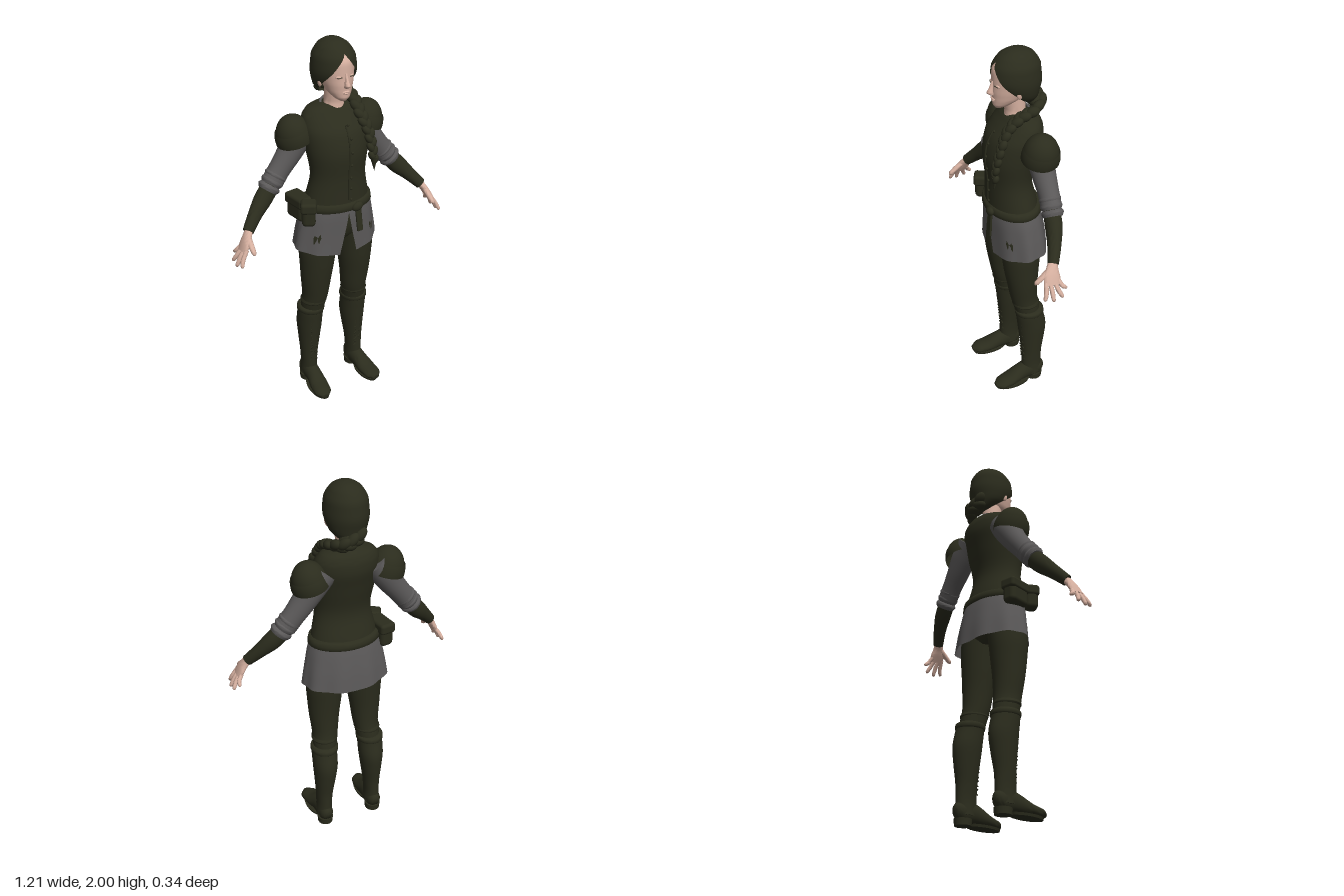
import * as THREE from 'three';
import { toCreasedNormals } from 'three/addons/utils/BufferGeometryUtils.js';
import { RoundedBoxGeometry } from 'three/addons/geometries/RoundedBoxGeometry.js';

const mat = (name, color) => new THREE.MeshStandardMaterial({ name, color, side: THREE.DoubleSide });
const V = (...p) => new THREE.Vector3(...p);

// Smooth skin through elliptical sections [x, y, z, radiusU, radiusV].
// tilt: direction of radiusU for rings square to the path; without it rings stay level.
// gap(y): half angle left open at the front; warp(point, angle, t): extra shaping.
function loft(sections, { n = 24, sub = 4, tilt, gap, warp, open = false } = {}) {
  const path = new THREE.CatmullRomCurve3(sections.map(s => V(s[0], s[1], s[2])));
  const size = new THREE.CatmullRomCurve3(sections.map(s => V(s[3], s[4], 0)));
  const rows = (sections.length - 1) * sub, pos = [], idx = [];
  for (let i = 0; i <= rows; i++) {
    const t = i / rows, c = path.getPoint(t), r = size.getPoint(t);
    const w = tilt ? path.getTangent(t) : V(0, 1, 0);
    const u = tilt ? V(...tilt) : V(1, 0, 0);
    u.addScaledVector(w, -u.dot(w)).normalize();
    const v = u.clone().cross(w), g = gap ? gap(c.y) : 0;
    for (let j = 0; j <= n; j++) {
      const a = Math.PI / 2 + g + (j / n) * 2 * (Math.PI - g);
      const p = c.clone().addScaledVector(u, Math.cos(a) * r.x).addScaledVector(v, Math.sin(a) * r.y);
      if (warp) warp(p, a, t);
      pos.push(p.x, p.y, p.z);
    }
  }
  const m = n + 1;
  for (let i = 0; i < rows; i++) for (let j = 0; j < n; j++) {
    const a = i * m + j;
    idx.push(a, a + m, a + 1, a + 1, a + m, a + m + 1);
  }
  if (!open) [0, rows].forEach(row => {
    const c = path.getPoint(row / rows), k = pos.length / 3;
    pos.push(c.x, c.y, c.z);
    for (let j = 0; j < n; j++) {
      const a = row * m + j;
      row ? idx.push(k, a + 1, a) : idx.push(k, a, a + 1);
    }
  });
  const geo = new THREE.BufferGeometry();
  geo.setAttribute('position', new THREE.Float32BufferAttribute(pos, 3));
  geo.setIndex(idx);
  return toCreasedNormals(geo, 1);
}

export function createModel() {
  const model = new THREE.Group();
  const dark = mat('darkOlive', 0x2b2c1d), grey = mat('greyCloth', 0x5b5959), skin = mat('skin', 0xd6b0a0);
  const add = (name, geo, material, p = [0, 0, 0], r = [0, 0, 0], s = [1, 1, 1]) => {
    const mesh = new THREE.Mesh(geo, material);
    mesh.name = name;
    mesh.position.set(...p); mesh.rotation.set(...r); mesh.scale.set(...s);
    model.add(mesh);
    return mesh;
  };
  const ball = new THREE.SphereGeometry(1, 20, 14);
  const rod = (name, p, q, r) => add(name, new THREE.TubeGeometry(new THREE.LineCurve3(V(...p), V(...q)), 1, r, 6), dark);

  // Head
  add('face', loft([[0, 1.712, .062, .015, .02], [0, 1.728, .05, .038, .045], [0, 1.76, .022, .062, .076],
    [0, 1.8, .01, .075, .09], [0, 1.85, .005, .083, .093], [0, 1.9, 0, .084, .095], [0, 1.95, -.01, .06, .07]]), skin);
  add('neck', loft([[0, 1.6, -.015, .08, .075], [0, 1.645, -.018, .066, .06], [0, 1.68, -.02, .05, .052],
    [0, 1.76, -.01, .05, .055]]), skin);
  add('nose', loft([[0, 1.785, .1, .012, .012], [0, 1.796, .109, .014, .018], [0, 1.82, .103, .009, .013],
    [0, 1.855, .093, .007, .008]], { n: 12 }), skin);
  add('upperLip', ball, skin, [0, 1.764, .097], [0, 0, 0], [.021, .005, .007]);
  add('lowerLip', ball, skin, [0, 1.755, .095], [0, 0, 0], [.017, .006, .008]);
  for (const s of [-1, 1]) {
    add('eyelid', ball, skin, [s * .033, 1.838, .085], [0, s * .3, 0], [.016, .008, .009]);
    add('lashLine', new THREE.BoxGeometry(.026, .0025, .004), dark, [s * .033, 1.838, .094], [0, s * .35, 0]);
    add('ear', ball, skin, [s * .086, 1.805, -.005], [0, s * .3, 0], [.012, .03, .02]);
  }

  // Hair swept back into a low knot
  add('hair', loft([[0, 1.725, -.07, .05, .06], [0, 1.77, -.045, .092, .092], [0, 1.85, -.025, .11, .126],
    [0, 1.92, -.024, .103, .119], [0, 1.97, -.026, .073, .086], [0, 1.993, -.028, .038, .045],
    [0, 2, -.028, .004, .004]], { n: 36, gap: y => Math.max(0, 7 * (1.945 - y)) }), dark);
  add('hairKnot', ball, dark, [.02, 1.735, -.11], [0, 0, -.4], [.06, .038, .042]);

  // Braid over the left shoulder
  const braid = new THREE.CatmullRomCurve3([V(-.03, 1.75, -.125), V(.05, 1.72, -.13), V(.095, 1.705, -.07),
    V(.1, 1.685, 0), V(.1, 1.63, .065), V(.12, 1.54, .115), V(.127, 1.45, .143), V(.13, 1.4, .148)]);
  for (let i = 0; i <= 26; i++) {
    const t = i / 26, r = .034 - .013 * t, tan = braid.getTangentAt(t), side = i % 2 ? 1 : -1;
    const across = tan.clone().cross(V(0, .3, 1)).normalize();
    const strand = add('braidStrand', ball, dark, braid.getPointAt(t).addScaledVector(across, side * r * .35).toArray(),
      [0, 0, 0], [r * .8, r * 1.25, r * .85]);
    strand.quaternion.setFromUnitVectors(V(0, 1, 0), tan.addScaledVector(across, -side * .5).normalize());
  }
  add('braidTip', new THREE.ConeGeometry(.018, .07, 12), dark, [.131, 1.375, .152], [Math.PI - .1, 0, 0]);

  // Jerkin with seam and buttons
  add('jerkin', loft([[0, 1.135, 0, .183, .13], [0, 1.2, .006, .17, .123], [0, 1.32, .018, .148, .111],
    [0, 1.45, .01, .165, .13], [0, 1.55, -.013, .175, .132], [0, 1.62, -.037, .163, .107],
    [0, 1.655, -.043, .135, .085], [0, 1.678, -.04, .07, .06]], { n: 40 }), dark);
  const seam = [[1.2, .13], [1.26, .129], [1.32, .13], [1.39, .135], [1.46, .14], [1.53, .127], [1.59, .095]];
  add('frontSeam', new THREE.TubeGeometry(new THREE.CatmullRomCurve3(seam.map(([y, z]) => V(0, y, z))), 24, .005, 6), dark);
  seam.forEach(([y, z]) => add('button', ball, dark, [.012, y, z + .002], [0, 0, 0], [.007, .007, .006]));
  add('shirtCollar', new THREE.TorusGeometry(.064, .007, 8, 32), grey, [0, 1.668, -.028], [Math.PI / 2 + .3, 0, 0], [1, .95, 1]);

  // Tunic skirt, split at the front
  add('tunicSkirt', loft([[0, .905, -.018, .235, .15], [0, 1, -.014, .22, .145], [0, 1.1, -.006, .2, .138],
    [0, 1.18, 0, .176, .127]], {
    n: 72, open: true, gap: y => Math.max(0, .95 * (1.13 - y)),
    warp: (p, a, t) => {
      const k = 1 + .022 * Math.sin(9 * a) * (1 - t);
      p.x *= k; p.z *= k;
      p.y += (1 - t) * (.012 * Math.abs(Math.cos(a)) - .018 * Math.max(0, Math.sin(a)));
    }
  }), grey);

  // Belt, hanging end and pouches
  add('belt', loft([[0, 1.135, 0, .184, .132], [0, 1.142, 0, .194, .142], [0, 1.175, 0, .188, .138],
    [0, 1.182, 0, .176, .128]], { n: 40, sub: 2 }), dark);
  add('beltKnot', ball, dark, [.045, 1.155, .14], [0, 0, .4], [.032, .024, .018]);
  add('beltTail', new RoundedBoxGeometry(.034, .14, .012, 2, .005), dark, [.052, 1.085, .145], [-.08, 0, .06]);
  const pouch = (name, p, w, h, d, turn) => {
    add(name, new RoundedBoxGeometry(w, h, d, 4, .024), dark, p, [0, turn, 0]);
    add(name + 'Flap', new RoundedBoxGeometry(w + .012, h * .45, d + .012, 4, .016), dark,
      [p[0], p[1] + h * .3, p[2]], [0, turn, 0]);
  };
  pouch('largePouch', [-.2, 1.145, -.03], .075, .13, .13, .15);
  pouch('smallPouch', [-.202, 1.15, .075], .07, .13, .07, -.5);

  // Hips
  add('hips', loft([[0, .93, -.01, .04, .06], [0, .97, -.008, .12, .1], [0, 1.05, -.005, .17, .12],
    [0, 1.17, 0, .165, .118]]), dark);

  for (const s of [-1, 1]) {
    const mirror = rows => rows.map(([x, ...rest]) => [s * x, ...rest]);
    const limb = (name, rows, material, opts) => add(name, loft(mirror(rows), opts), material);
    const along = { tilt: [0, 0, 1], n: 24 };

    // Arms
    limb('sleeve', [[.13, 1.57, -.06, .07, .07], [.19, 1.5, -.061, .066, .072], [.235, 1.435, -.06, .059, .064],
      [.3, 1.352, -.057, .051, .057], [.335, 1.308, -.052, .051, .058]], grey, along);
    for (let i = 0; i < 3; i++) {
      const k = i * .021;
      limb('sleeveRoll', [[.305 + k, 1.35 - k * 1.25, -.056 + k * .15, .046, .05], [.314 + k, 1.338 - k * 1.25, -.055 + k * .15, .054, .06],
        [.326 + k, 1.323 - k * 1.25, -.053 + k * .15, .046, .05]], grey, along);
    }
    limb('bracer', [[.33, 1.31, -.051, .042, .046], [.39, 1.243, -.038, .042, .048], [.455, 1.178, -.01, .034, .037],
      [.515, 1.114, .026, .027, .029]], dark, along);

    // Hands
    limb('palm', [[.505, 1.125, .022, .021, .02], [.528, 1.092, .037, .032, .018], [.545, 1.062, .046, .043, .016],
      [.562, 1.03, .05, .041, .012]], skin, along);
    [[.592, .967, .102], [.601, .957, .061], [.599, .965, .015], [.578, .995, -.013]].forEach(([x, y, z], i) => {
      const kz = .081 - i * .021;
      limb('finger', [[.552, 1.045, kz, .011, .011], [(.566 + x) / 2, (1.035 + y) / 2, (kz + z) / 2, .0115, .011],
        [x - .002, y + .006, z, .009, .009], [x, y, z, .003, .003]], skin, { tilt: [0, 0, 1], n: 10 });
    });
    limb('thumb', [[.525, 1.095, .05, .014, .014], [.53, 1.065, .09, .015, .013], [.531, 1.04, .122, .011, .011],
      [.532, 1.034, .13, .003, .003]], skin, { tilt: [1, 0, 0], n: 10 });

    // Layered shoulder guards
    [[0, 1.5, 1], [1.15, .55, 1.06]].forEach(([start, span, k], i) =>
      add(i ? 'shoulderGuardLame' : 'shoulderGuard', new THREE.SphereGeometry(1, 32, 14, 0, Math.PI * 2, start, span), dark,
        [s * .203, 1.527 - i * .012, -.058], [0, 0, -s * .25], [.09 * k, .112 * k, .09 * k]));

    // Legs
    limb('trouserLeg', [[.13, .46, -.045, .06, .065], [.126, .54, -.03, .066, .07], [.12, .6, -.018, .07, .073],
      [.119, .7, -.008, .081, .082], [.115, .8, -.003, .091, .094], [.112, .89, -.002, .098, .103],
      [.1, 1, 0, .1, .11], [.085, 1.1, 0, .09, .1]], dark);
    limb('kneeFold', [[.128, .545, -.03, .06, .064], [.126, .56, -.026, .071, .074], [.124, .58, -.023, .062, .068]], dark);

    // Boots
    limb('bootShaft', [[.147, .05, -.058, .045, .058], [.146, .12, -.056, .041, .058], [.144, .2, -.057, .046, .058],
      [.14, .3, -.06, .057, .07], [.137, .4, -.059, .067, .08], [.136, .48, -.046, .069, .076], [.134, .515, -.043, .07, .074]], dark);
    limb('bootTopBand', [[.135, .485, -.045, .066, .072], [.135, .493, -.045, .074, .08], [.134, .513, -.043, .074, .079],
      [.134, .52, -.043, .064, .07]], dark, { sub: 2 });
    limb('foot', [[.147, .055, -.118, .022, .03], [.147, .062, -.1, .037, .05], [.147, .07, -.05, .043, .06],
      [.149, .063, .01, .043, .05], [.156, .044, .08, .05, .034], [.163, .036, .14, .046, .026], [.166, .033, .174, .018, .012]],
    dark, { tilt: [1, 0, 0], warp: p => { p.y = Math.max(p.y, .012); } });
    limb('sole', [[.157, .005, .065, .046, .1], [.157, .018, .065, .049, .105]], dark, { sub: 1 });
    limb('bootHeel', [[.147, 0, -.073, .041, .044], [.147, .034, -.073, .043, .048]], dark, { sub: 1 });

    // Crossed boot laces
    for (let i = 0; i < 7; i++) {
      const y = .16 + i * .044, z = .002 + .019 * i / 6, x = s * .142;
      rod('bootLace', [x - .022, y, z - .007], [x + .022, y + .03, z - .005], .004);
      rod('bootLace', [x + .022, y, z - .007], [x - .022, y + .03, z - .005], .004);
    }
  }
  return model;
}
